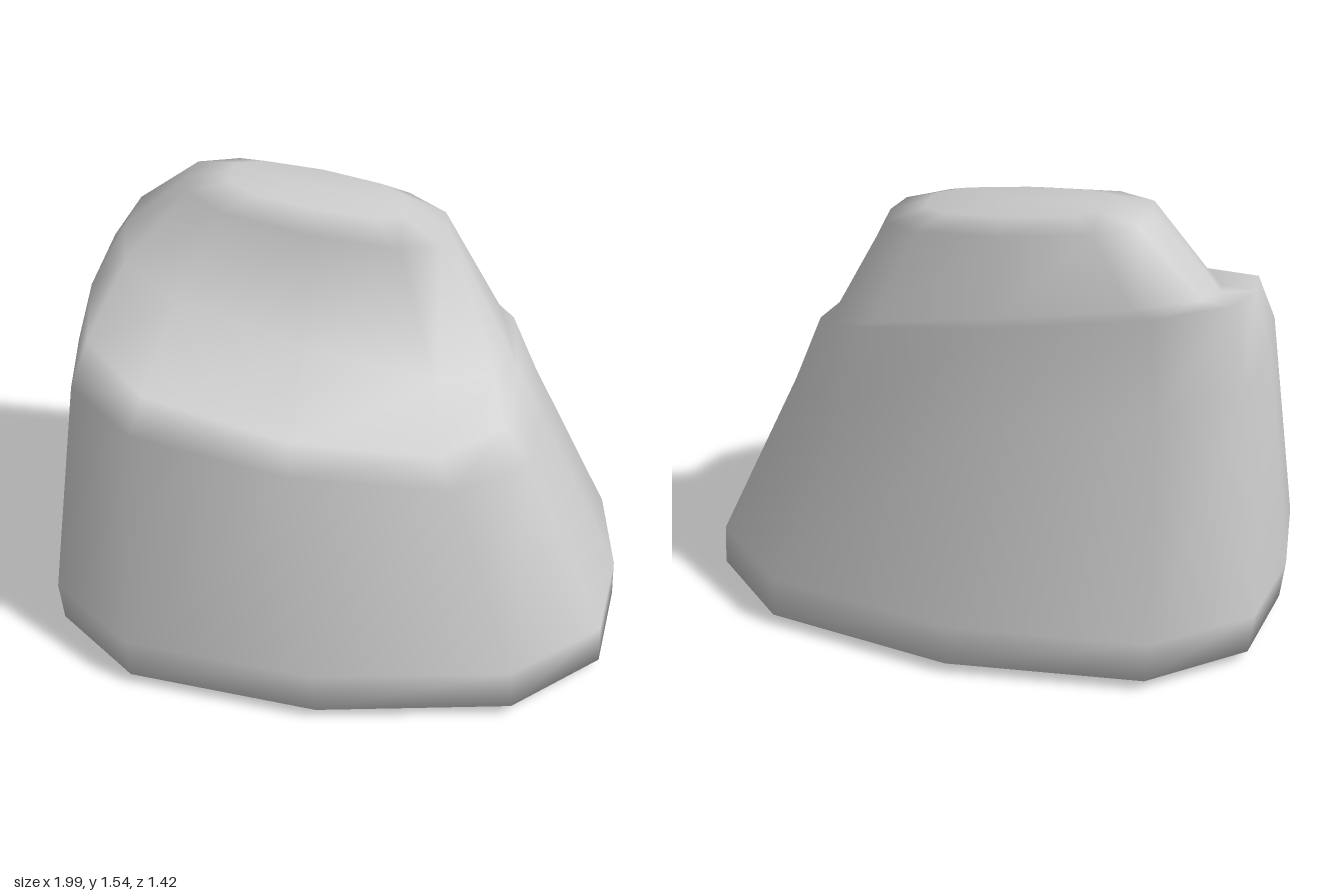
import * as THREE from 'three';

const SIDES = 12;
const WIDTHS = [1, 0.955, 0.66, 0]; // boxier than a circle in x, at 0, 30, 60 and 90 degrees

// Each ring: centre (x, y, z), radii in x and z, slope of y along x and z, skew of z along x
const RINGS = [
  { x: 0.0, y: 0.0, z: 0, rx: 0.76, rz: 0.62 },
  { x: 0.0, y: 0.04, z: 0, rx: 0.985, rz: 0.71 }, // foot
  { x: -0.01, y: 0.18, z: 0, rx: 0.99, rz: 0.7 },
  { x: -0.105, y: 0.885, z: -0.02, rx: 0.795, rz: 0.555, sx: -0.12 }, // top of the wall
  { x: -0.12, y: 1.08, z: -0.025, rx: 0.72, rz: 0.485, sx: -0.17, sz: -0.23 }, // ledge rim
  { x: -0.11, y: 1.14, z: -0.21, rx: 0.66, rz: 0.29, sx: -0.21, sz: -0.27, skew: 0.08 }, // foot of the peak
  { x: -0.1, y: 1.46, z: -0.21, rx: 0.44, rz: 0.21, sx: -0.13, skew: 0.06 }, // shoulder of the peak
  { x: -0.1, y: 1.5, z: -0.23, rx: 0.3, rz: 0.13, sx: -0.12, skew: 0.06 }, // crown
];

function ringPoint({ x, y, z, rx, rz, sx = 0, sz = 0, skew = 0 }, i) {
  const angle = (i / SIDES) * Math.PI * 2;
  const step = i % 6;
  const dx = rx * WIDTHS[Math.min(step, 6 - step)] * (Math.cos(angle) < 0 ? -1 : 1);
  const dz = rz * Math.sin(angle) + skew * dx;
  return [x + dx, y + sx * dx + sz * dz, z + dz];
}

function createBoulderGeometry() {
  const positions = [];
  const index = [];
  for (const ring of RINGS) {
    for (let i = 0; i < SIDES; i++) positions.push(...ringPoint(ring, i));
  }
  const first = RINGS[0];
  const last = RINGS[RINGS.length - 1];
  const bottom = RINGS.length * SIDES;
  const top = bottom + 1;
  positions.push(first.x, first.y, first.z, last.x, last.y + 0.01, last.z);

  for (let i = 0; i < SIDES; i++) {
    const next = (i + 1) % SIDES;
    for (let r = 0; r < RINGS.length - 1; r++) {
      const a = r * SIDES + i;
      const b = r * SIDES + next;
      index.push(a, a + SIDES, b, b, a + SIDES, b + SIDES);
    }
    // Underside and crown
    const crown = (RINGS.length - 1) * SIDES;
    index.push(bottom, i, next, top, crown + next, crown + i);
  }

  const geometry = new THREE.BufferGeometry();
  geometry.setAttribute('position', new THREE.Float32BufferAttribute(positions, 3));
  geometry.setIndex(index);
  geometry.computeVertexNormals();
  return geometry;
}

export function createModel() {
  const group = new THREE.Group();
  group.name = 'rock';
  const boulder = new THREE.Mesh(
    createBoulderGeometry(),
    new THREE.MeshStandardMaterial({ color: 0xcccccc })
  );
  boulder.name = 'boulder';
  group.add(boulder);
  return group;
}
